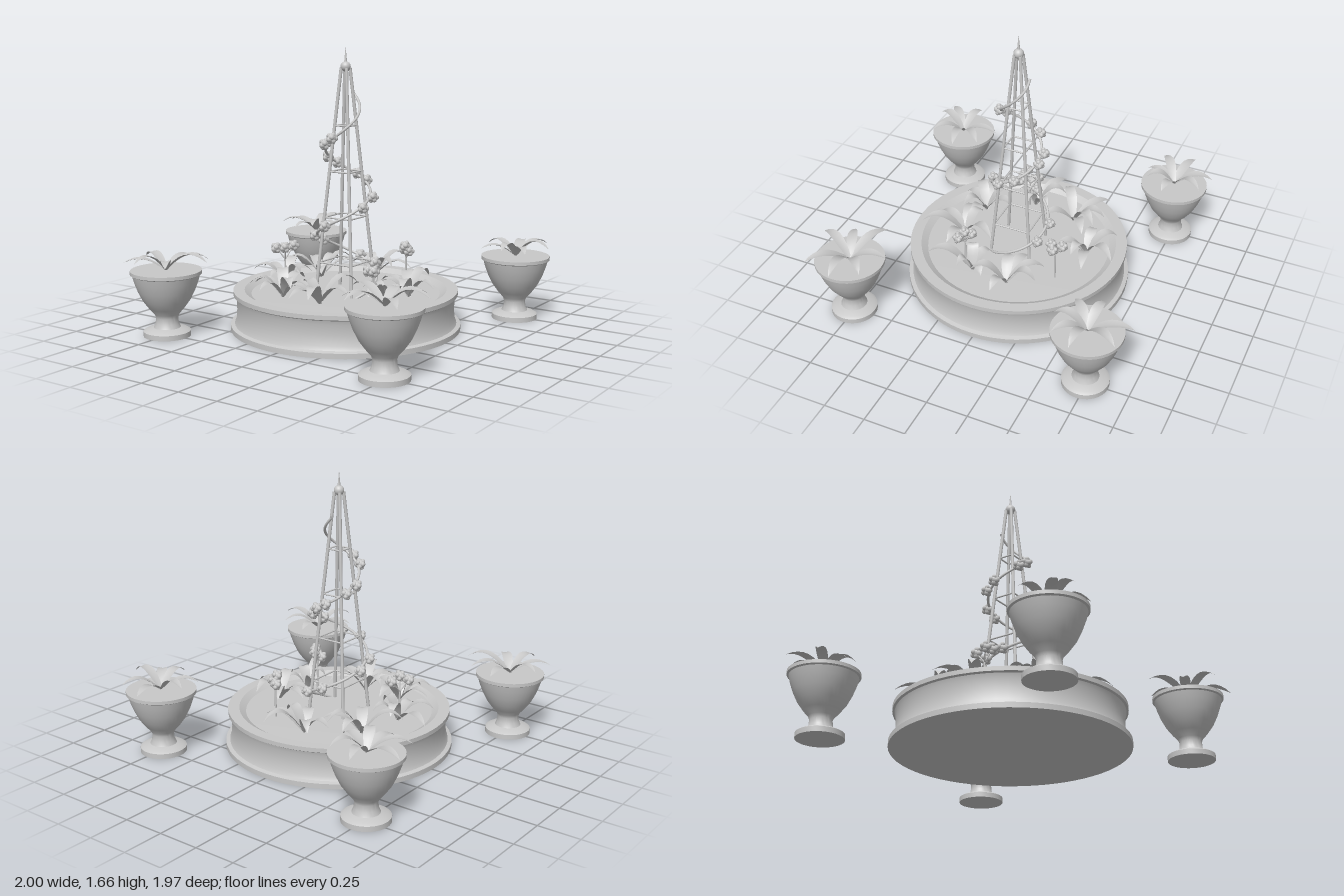
import * as THREE from 'three';
import { mergeGeometries, toCreasedNormals } from 'three/addons/utils/BufferGeometryUtils.js';

const stone = new THREE.MeshStandardMaterial({ color: 0xc8c8c8, side: THREE.DoubleSide });
stone.name = 'pale grey';

const V = (x, y, z) => new THREE.Vector3(x, y, z);
const CX = -0.005, CZ = 0.01; // centre of the round bed

function add(parent, geometry, name, x = 0, y = 0, z = 0) {
  const mesh = new THREE.Mesh(geometry, stone);
  mesh.name = name;
  mesh.position.set(x, y, z);
  parent.add(mesh);
  return mesh;
}

const lathe = (pts, segments) => toCreasedNormals(
  new THREE.LatheGeometry(pts.map(p => new THREE.Vector2(...p)), segments), 0.5);

// Round bar between two points
function bar(parent, a, b, radius, name) {
  const mesh = add(parent, new THREE.CylinderGeometry(radius, radius, a.distanceTo(b), 8), name);
  mesh.position.copy(a).lerp(b, 0.5);
  mesh.quaternion.setFromUnitVectors(V(0, 1, 0), b.clone().sub(a).normalize());
}

// Arching pointed leaf from the origin to a tip offset
function leaf(dx, dz, height, halfWidth) {
  const geo = new THREE.PlaneGeometry(2, 1, 2, 8);
  const p = geo.attributes.position;
  const len = Math.hypot(dx, dz), ux = dx / len, uz = dz / len;
  for (let i = 0; i < p.count; i++) {
    const side = p.getX(i), t = p.getY(i) + 0.5;
    const w = side * halfWidth * Math.sin(Math.PI * (0.08 + 0.92 * t)) ** 0.8;
    const r = len * t;
    const y = height * Math.sin(Math.PI * 0.78 * t) + Math.abs(w) * 0.25;
    p.setXYZ(i, ux * r - uz * w, y, uz * r + ux * w);
  }
  geo.computeVertexNormals();
  return geo;
}

// Rosette of leaves; tips are [dx, dz] in hundredths
function plant(parent, x, y, z, tips, height, halfWidth, name) {
  const leaves = tips.map(([dx, dz], i) =>
    leaf(dx / 100, dz / 100, height * (0.8 + 0.1 * (i * 2 % 5)), halfWidth));
  add(parent, mergeGeometries(leaves), name, x, y, z);
}

// Knobbly blossom: a core wrapped in rounded petals
function blossomGeometry() {
  const parts = [new THREE.SphereGeometry(0.029, 10, 7)];
  for (let i = 0; i < 10; i++) {
    const y = 0.9 - i * 0.2, a = i * 2.4, r = Math.sqrt(1 - y * y);
    parts.push(new THREE.SphereGeometry(0.0155, 7, 5)
      .translate(0.0215 * r * Math.cos(a), 0.0215 * y, 0.0215 * r * Math.sin(a)));
  }
  return mergeGeometries(parts);
}

export function createModel() {
  const model = new THREE.Group();
  model.name = 'formalGarden';
  const blossom = blossomGeometry();

  // Round raised bed
  add(model, lathe([[0, 0], [0.684, 0], [0.684, 0.03], [0.66, 0.037], [0.65, 0.06], [0.645, 0.12],
    [0.648, 0.18], [0.655, 0.203], [0.667, 0.21], [0.667, 0.235], [0.6, 0.235], [0.56, 0.21]], 64),
  'raisedBed', CX, 0, CZ);
  add(model, lathe([[0.56, 0.21], [0, 0.215]], 64), 'soil', CX, 0, CZ);

  // Four urns with leafy plants
  const urn = lathe([[0, 0], [0.137, 0], [0.137, 0.03], [0.12, 0.04], [0.078, 0.05], [0.067, 0.075],
    [0.064, 0.11], [0.072, 0.13], [0.103, 0.165], [0.138, 0.213], [0.166, 0.27], [0.186, 0.325],
    [0.196, 0.362], [0.207, 0.368], [0.207, 0.388], [0, 0.388]], 40);
  const urnTips = [
    [[-25, -6], [-6, -23], [10, -19], [18, 3], [8, 16], [-4, 19], [-20, 13]],
    [[-6, -25], [12, -20], [23, 2], [14, 16], [0, 20], [-17, 14], [-20, -3]],
    [[0, -24], [17, -18], [27, -5], [14, 16], [-6, 20], [-19, 16], [-20, -5]],
    [[-4, -22], [16, -16], [26, -2], [19, 19], [-10, 23], [-21, 8], [-27, -11]]];
  urnTips.forEach((tips, i) => {
    const x = CX + (i % 2 ? 0.747 : -0.747), z = CZ + (i > 1 ? 0.747 : -0.747);
    add(model, urn, 'urn', x, 0, z);
    plant(model, x, 0.385, z, tips, 0.088, 0.031, 'urnPlant');
  });

  // Plants in the bed: centre and leaf tips
  const bedPlants = [
    [-0.345, -0.22, [[-21, -17], [-1, -20], [12, -17], [20, -13], [-20, 13], [12, 17]]],
    [-0.075, -0.41, [[-17, 1], [-14, -15], [13, -21], [24, -6], [16, 4], [8, 17]]],
    [0.38, -0.08, [[-22, -5], [-14, -19], [2, -20], [18, 2], [7, 20], [-18, 6]]],
    [-0.4, 0.065, [[-26, -11], [-19, 10], [-7, -18], [10, -12], [12, 2], [-3, 13]]],
    [-0.225, 0.335, [[-20, 1], [1, -20], [-11, -14], [20, 1], [13, 10], [-5, 16], [-16, 12]]],
    [0.045, 0.35, [[-21, 6], [-15, -5], [11, -23], [22, 2], [10, 25], [-7, 20]]],
    [0.35, 0.15, [[10, -10], [10, 6], [7, 27], [-12, -7], [-11, 5]]]];
  for (const [x, z, tips] of bedPlants) plant(model, x, 0.212, z, tips, 0.125, 0.034, 'bedPlant');

  // Blossom clusters on stems
  const clusters = [
    [[-0.37, 0.455, 0.035], [-0.425, 0.45, 0.135], [-0.36, 0.46, 0.135]],
    [[0.18, 0.43, -0.355], [0.22, 0.46, -0.3], [0.235, 0.43, -0.315]],
    [[0.31, 0.45, 0.175], [0.33, 0.465, 0.21], [0.345, 0.42, 0.245], [0.295, 0.415, 0.225]]];
  for (const heads of clusters) {
    const mid = V(0, 0, 0);
    heads.forEach(h => mid.add(V(...h).divideScalar(heads.length)));
    const fork = V(mid.x, 0.38, mid.z);
    bar(model, V(mid.x, 0.2, mid.z), fork, 0.006, 'flowerStem');
    for (const h of heads) {
      bar(model, fork, V(...h), 0.004, 'flowerStalk');
      add(model, blossom, 'blossom', ...h);
    }
  }

  // Tapered trellis tower
  const tower = new THREE.Group();
  tower.name = 'trellisTower';
  tower.position.set(CX, 0, CZ);
  model.add(tower);
  const half = y => 0.125 - (y - 0.24) * 0.082;
  const corner = (y, i) => {
    const a = Math.PI / 4 + i * Math.PI / 2, r = half(y) * Math.SQRT2;
    return V(r * Math.cos(a), y, r * Math.sin(a));
  };
  for (let i = 0; i < 4; i++) {
    bar(tower, corner(0.2, i), corner(1.54, i), 0.01, 'leg');
    for (const y of [0.395, 0.665, 0.935, 1.205]) bar(tower, corner(y, i), corner(y, i + 1), 0.005, 'rung');
  }
  add(tower, new THREE.SphereGeometry(0.03, 20, 14), 'finialBall', 0, 1.548, 0);
  add(tower, new THREE.ConeGeometry(0.01, 0.1, 10), 'finialSpike', 0, 1.615, 0);

  // Climbing vine spiralling around the tower
  const vineAt = (y, out = 0) => {
    const d = 1.4 - y, a = -Math.PI / 2 + d / 0.505 * Math.PI * 2;
    const r = 0.07 + 0.16 * d - 0.05 * d * d + out;
    return V(r * Math.cos(a), y, r * Math.sin(a));
  };
  const path = [];
  for (let i = 0; i <= 40; i++) path.push(vineAt(0.21 + 1.19 * i / 40));
  add(tower, new THREE.TubeGeometry(new THREE.CatmullRomCurve3(path), 160, 0.008, 7), 'vine');
  for (const y of [1.14, 1.1, 1.01, 0.97, 0.905, 0.87, 0.79, 0.74, 0.63, 0.545, 0.5, 0.4, 0.345]) {
    add(tower, blossom, 'vineBlossom', ...vineAt(y, 0.018));
  }
  return model;
}
